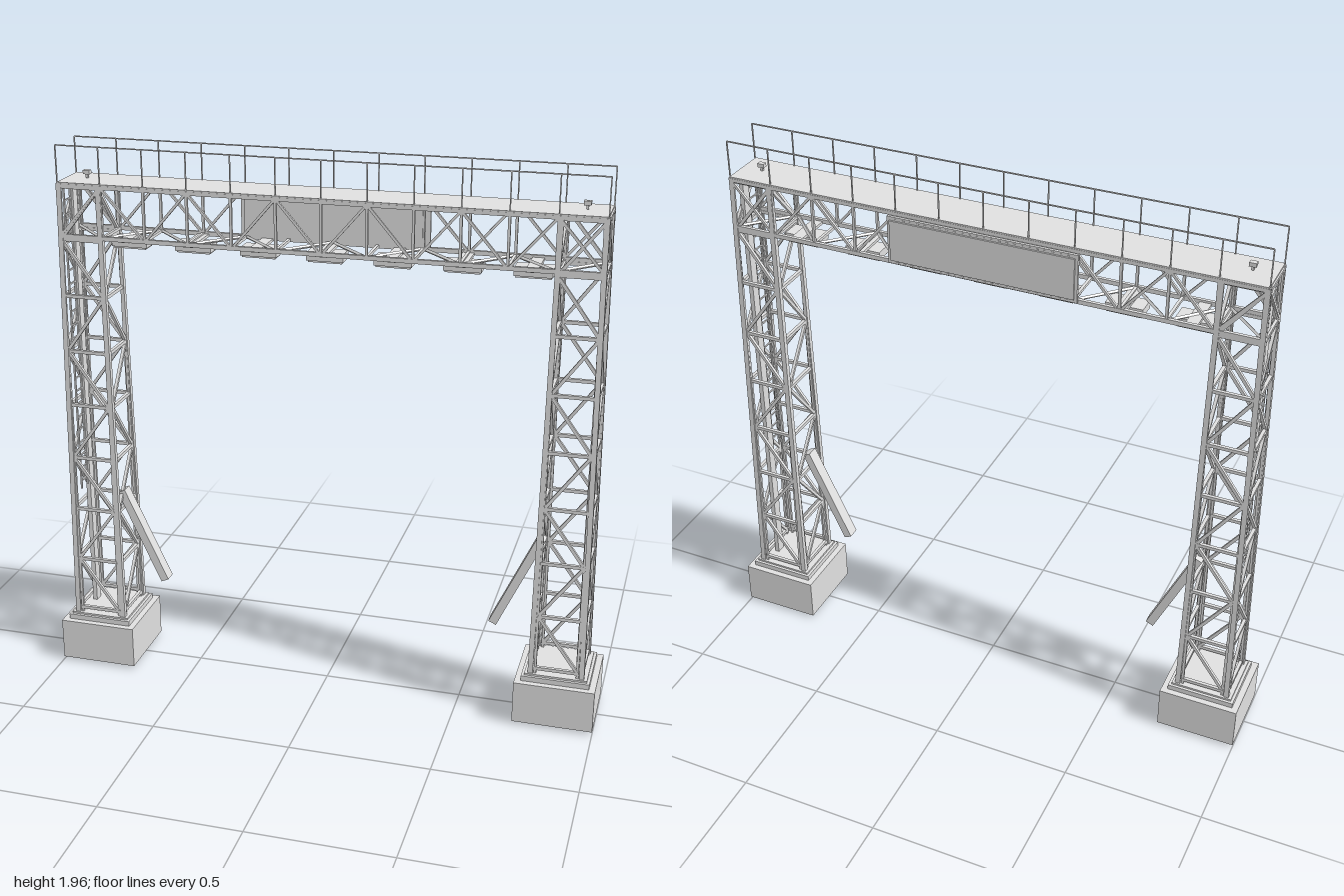
import * as THREE from 'three';

const steel = new THREE.MeshStandardMaterial({ color: 0xe0e0e0 });
steel.name = 'light grey steel';
const Y = new THREE.Vector3(0, 1, 0);

function group(parent, name) {
  const g = new THREE.Group();
  g.name = name;
  parent.add(g);
  return g;
}

function box(parent, name, w, h, d, x, y, z) {
  const m = new THREE.Mesh(new THREE.BoxGeometry(w, h, d), steel);
  m.name = name;
  m.position.set(x, y, z);
  parent.add(m);
  return m;
}

// Straight bar between two points, w by d in section
function bar(parent, name, a, b, w, d = w) {
  const p = new THREE.Vector3(...a), q = new THREE.Vector3(...b);
  const dir = q.clone().sub(p);
  const m = box(parent, name, w, dir.length(), d, 0, 0, 0);
  m.position.copy(p).add(q).multiplyScalar(0.5);
  m.quaternion.setFromUnitVectors(Y, dir.normalize());
  return m;
}

const CX = 0.858, Y0 = 0.19, Y1 = 1.827, LOW = 1.64, HZ = 0.08, HX = 0.935, PITCH = HX / 6;

// Outer half width of the tapering legs at a height, in x and z
const halfX = (y) => THREE.MathUtils.mapLinear(y, Y0, Y1, 0.099, 0.08);
const halfZ = (y) => THREE.MathUtils.mapLinear(y, Y0, Y1, 0.104, 0.085);

function tower(parent, name, side) {
  const t = group(parent, name);
  t.position.x = side * CX;

  // Foundation
  const f = group(t, 'foundation');
  box(f, 'footing', 0.23, 0.012, 0.23, 0, 0.006, 0);
  box(f, 'concreteBlock', 0.284, 0.155, 0.284, 0, 0.0875, 0);
  box(f, 'basePlate', 0.24, 0.02, 0.24, 0, 0.174, 0);
  box(f, 'upperBasePlate', 0.22, 0.008, 0.22, 0, 0.187, 0);

  // Points on the sloping faces; bracing keeps a constant width
  const PX = 0.074, PZ = 0.078;
  const onFront = (y, sx, sz) => [sx * PX, y, sz * (halfZ(y) - 0.009)];
  const onSide = (y, sx, sz) => [sx * (halfX(y) - 0.009), y, sz * PZ];

  // Four tapering angle-section legs with posts edging the braced faces
  const legs = group(t, 'legs');
  const W = 0.018, T = 0.007;
  for (const sx of [-1, 1]) for (const sz of [-1, 1]) {
    const at = (y, dx, dz) => [sx * (halfX(y) - dx), y, sz * (halfZ(y) - dz)];
    bar(legs, 'legFlange', at(Y0, W / 2, T / 2), at(Y1, W / 2, T / 2), W, T);
    bar(legs, 'legFlange', at(Y0, T / 2, W / 2), at(Y1, T / 2, W / 2), T, W);
    for (const on of [onFront, onSide])
      bar(legs, 'edgePost', on(Y0, sx, sz), on(Y1, sx, sz), 0.009);
  }

  // Rings and zigzag bracing, mirrored on opposite faces
  const br = group(t, 'bracing');
  const levels = [];
  for (let i = 0; i < 8; i++) levels.push(0.21 + i * 0.203);
  levels.push(1.815);
  levels.forEach((y, i) => {
    for (const s of [-1, 1]) {
      bar(br, 'ring', onFront(y, -1, s), onFront(y, 1, s), 0.012);
      bar(br, 'ring', onSide(y, s, -1), onSide(y, s, 1), 0.012);
      if (i === levels.length - 1) continue;
      const k = i % 2 ? s : -s, n = levels[i + 1];
      bar(br, 'diagonal', onFront(y, -k, s), onFront(n, k, s), 0.011);
      bar(br, 'diagonal', onSide(y, s, -k), onSide(n, s, k), 0.011);
    }
  });

  // Ladder and cable channel inside the outer face
  const l = group(t, 'ladder');
  const lx = side * 0.067;
  for (const z of [0.005, 0.055]) bar(l, 'ladderRail', [lx, 0.68, z], [lx, Y1, z], 0.006);
  for (let y = 0.71; y < 1.8; y += 0.05) bar(l, 'rung', [lx, y, 0.005], [lx, y, 0.055], 0.005);
  box(t, 'cableChannel', 0.016, Y1 - Y0, 0.035, lx, (Y0 + Y1) / 2, -0.02);

  // Sloping arm reaching inward
  bar(t, 'slopingArm', [-side * 0.083, 0.68, 0.02], [-side * 0.241, 0.336, 0.02], 0.03, 0.045);

  // Beacon on the deck
  box(t, 'beaconStem', 0.008, 0.015, 0.008, 0, 1.84, 0);
  box(t, 'beacon', 0.024, 0.014, 0.018, 0, 1.853, 0);
}

function truss(parent) {
  const t = group(parent, 'bridgeTruss');
  box(t, 'deck', 2 * HX, 0.005, 2 * HZ + 0.01, 0, 1.8285, 0);
  for (const s of [-1, 1]) {
    const z = s * HZ;
    box(t, 'topChord', 2 * HX, 0.013, 0.012, 0, 1.8195, z);
    box(t, 'bottomChord', 2 * HX, 0.015, 0.012, 0, LOW + 0.003, z);
    box(t, 'handrail', 2 * HX, 0.004, 0.004, 0, 1.957, z);
    for (let i = 0; i <= 12; i++) {
      const x = -HX + i * PITCH;
      box(t, 'upright', 0.009, Y1 - LOW, 0.009, x, (Y1 + LOW) / 2, z);
      box(t, 'railPost', 0.004, 0.128, 0.004, x, 1.893, z);
      if (i === 12) continue;
      const rising = (i % 2 === 0) === (s > 0);
      const [a, b] = rising ? [LOW, 1.82] : [1.82, LOW];
      bar(t, 'diagonal', [x, a, z], [x + PITCH, b, z], 0.009);
    }
  }
  // Floor bracing
  for (let i = 0; i <= 12; i++) {
    const x = -HX + i * PITCH, k = i % 2 ? HZ : -HZ;
    box(t, 'crossMember', 0.01, 0.01, 2 * HZ, x, LOW + 0.003, 0);
    box(t, 'upperCrossMember', 0.01, 0.01, 2 * HZ, x, 1.82, 0);
    if (i < 12) bar(t, 'floorDiagonal', [x, LOW + 0.003, k], [x + PITCH, LOW + 0.003, -k], 0.009);
  }
  // End frames
  for (const s of [-1, 1])
    bar(t, 'endDiagonal', [s * HX, LOW, -s * HZ], [s * HX, 1.82, s * HZ], 0.01);
}

// Box lamps hung beneath the bridge
function lamps(parent) {
  const g = group(parent, 'underLamps');
  for (let i = -3; i <= 3; i++) {
    box(g, 'lampHousing', 0.128, 0.028, 0.07, i * 0.2335, 1.62, 0);
    box(g, 'lampLens', 0.118, 0.006, 0.06, i * 0.2335, 1.603, 0);
    box(g, 'lampMount', 0.04, 0.01, 0.16, i * 0.2335, 1.638, 0);
  }
}

// Display board on the back, its casing reaching in past the rear truss
function board(parent) {
  const g = group(parent, 'displayBoard');
  box(g, 'boardCasing', 0.62, 0.165, 0.026, 0, 1.731, -0.085);
  box(g, 'boardPanel', 0.666, 0.17, 0.01, 0, 1.731, -0.097);
  box(g, 'boardFace', 0.646, 0.144, 0.006, 0, 1.731, -0.105);
  for (let i = 0; i < 24; i++)
    for (const s of [-1, 1])
      box(g, 'rivet', 0.008, 0.003, 0.002, -0.299 + i * 0.026, 1.731 + s * 0.078, -0.1025);
}

export function createModel() {
  const model = new THREE.Group();
  model.name = 'gantry';
  tower(model, 'leftTower', 1);
  tower(model, 'rightTower', -1);
  truss(model);
  lamps(model);
  board(model);
  return model;
}
